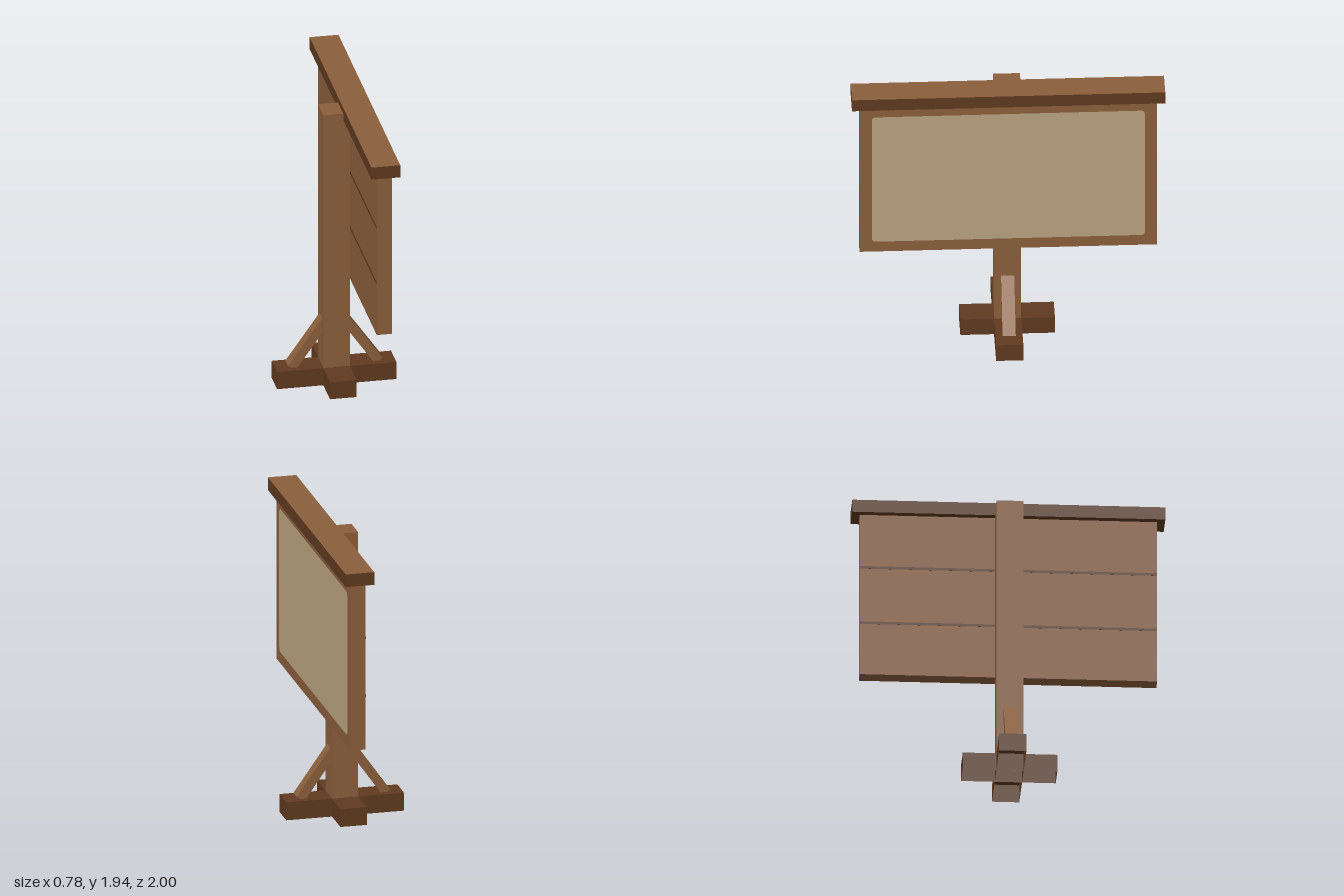
import * as THREE from 'three';

const material = (name, color, side = THREE.FrontSide) => {
  const m = new THREE.MeshStandardMaterial({ color, side });
  m.name = name;
  return m;
};

export function createModel() {
  const model = new THREE.Group();
  model.name = 'noticeBoard';
  const wood = material('wood', 0x8b5f3c);
  const darkWood = material('dark wood', 0x5f3a1f, THREE.DoubleSide);
  const parchment = material('parchment', 0xbaa47f);

  const add = (name, geometry, mat) => {
    const mesh = new THREE.Mesh(geometry, mat);
    mesh.name = name;
    model.add(mesh);
    return mesh;
  };

  // Box given by its minimum and maximum corners
  const box = (x0, x1, y0, y1, z0, z1) =>
    new THREE.BoxGeometry(x1 - x0, y1 - y0, z1 - z0)
      .translate((x0 + x1) / 2, (y0 + y1) / 2, (z0 + z1) / 2);

  // Leaves out the face that rests on the ground
  const openBottom = (geometry) => {
    const index = Array.from(geometry.index.array);
    index.splice(18, 6);
    geometry.setIndex(index);
    geometry.clearGroups();
    return geometry;
  };

  // Crossed hollow foot beams and post
  add('footBeamLong', openBottom(box(-0.388, 0.388, 0, 0.12, -0.087, 0.087)), darkWood);
  add('footBeamShort', openBottom(box(-0.087, 0.087, 0, 0.1195, -0.302, 0.302)), darkWood);
  add('post', openBottom(box(-0.086, 0.086, 0, 1.9, -0.086, 0.086)), wood);

  // Slanted braces on both sides of the post
  const angle = Math.atan2(0.32, 0.225);
  for (const side of [-1, 1]) {
    const brace = add(side < 0 ? 'rightBrace' : 'leftBrace',
      new THREE.BoxGeometry(0.44, 0.06, 0.084), wood);
    brace.position.set(side * 0.157, 0.298, 0);
    brace.rotation.z = -side * angle;
  }

  // Board with dark seams between its planks at the back
  add('board', box(0.087, 0.187, 0.734, 1.88, -0.95, 0.95), wood);
  for (const y of [1.097, 1.486]) {
    add('plankSeam', box(0.086, 0.09, y - 0.009, y + 0.009, -0.949, 0.949), darkWood);
  }

  // Parchment sheet with rounded corners
  const w = 0.872, h = 0.482, r = 0.025;
  const sheet = new THREE.Shape();
  sheet.absarc(w - r, h - r, r, 0, Math.PI / 2);
  sheet.absarc(-w + r, h - r, r, Math.PI / 2, Math.PI);
  sheet.absarc(-w + r, -h + r, r, Math.PI, Math.PI * 1.5);
  sheet.absarc(w - r, -h + r, r, Math.PI * 1.5, Math.PI * 2);
  const sheetMesh = add('parchmentSheet', new THREE.ShapeGeometry(sheet, 6), parchment);
  sheetMesh.rotation.y = Math.PI / 2;
  sheetMesh.position.set(0.188, 1.292, 0);

  // Cap rail: light top, dark sides and underside
  add('capRail', box(0.043, 0.23, 1.855, 1.94, -1, 1),
    [darkWood, darkWood, wood, darkWood, darkWood, darkWood]);

  return model;
}
